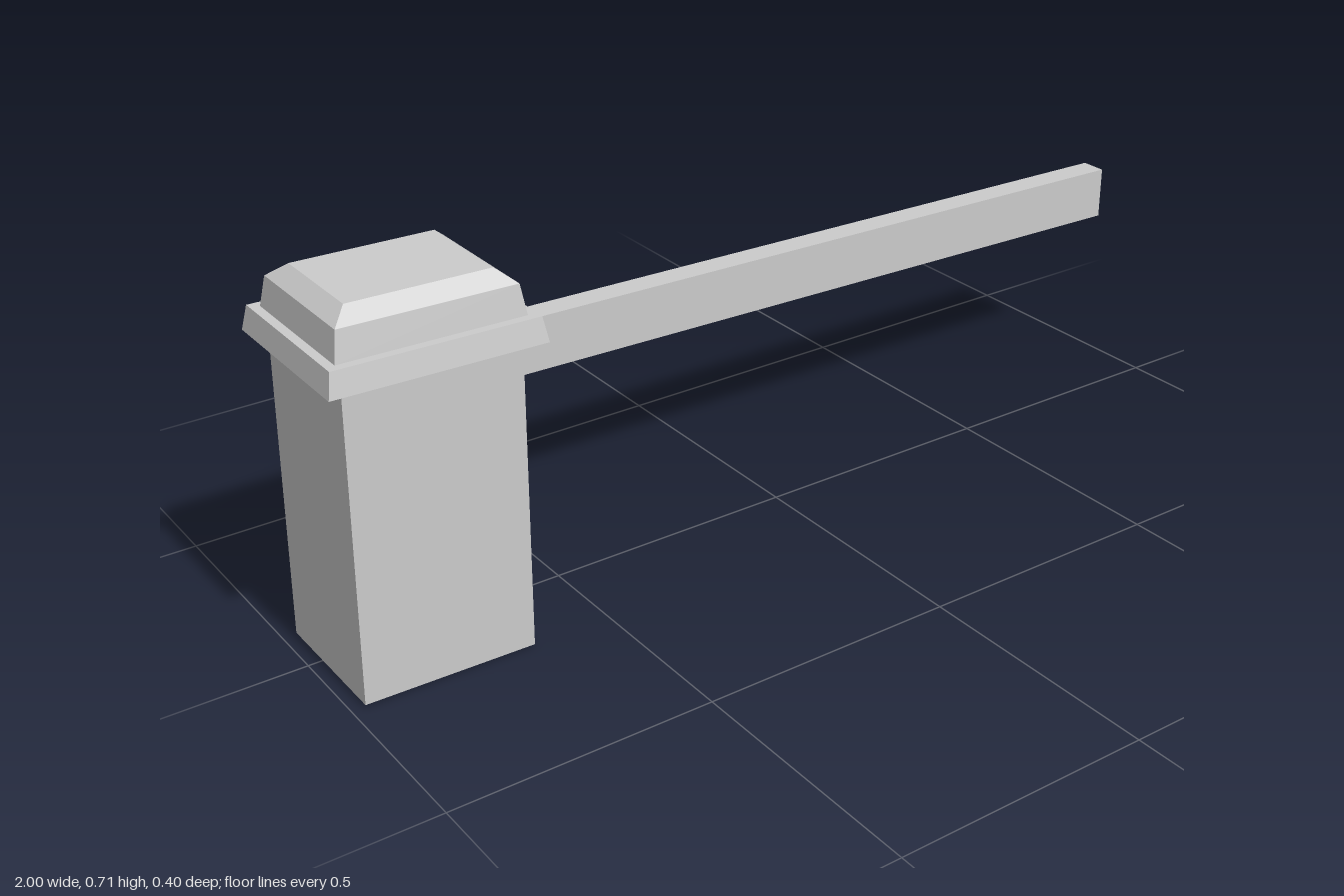
import * as THREE from 'three';

const material = new THREE.MeshStandardMaterial({ color: 0xcccccc, flatShading: true });

// Closed loft through rectangles given as [height, halfWidth, halfDepth], bottom to top
function loftRects(sections) {
  const corners = [[-1, 1], [1, 1], [1, -1], [-1, -1]];
  const rings = sections.map(([y, w, d]) => corners.map(([sx, sz]) => [sx * w, y, sz * d]));
  const positions = [];
  const quad = (a, b, c, d) => positions.push(...a, ...b, ...c, ...a, ...c, ...d);
  for (let i = 0; i < rings.length - 1; i++) {
    for (let k = 0; k < 4; k++) {
      const n = (k + 1) % 4;
      quad(rings[i][k], rings[i][n], rings[i + 1][n], rings[i + 1][k]);
    }
  }
  quad(...rings[rings.length - 1]);
  quad(...[...rings[0]].reverse());
  const geometry = new THREE.BufferGeometry();
  geometry.setAttribute('position', new THREE.Float32BufferAttribute(positions, 3));
  geometry.computeVertexNormals();
  return geometry;
}

function addPart(parent, name, geometry, x, y, z) {
  const mesh = new THREE.Mesh(geometry, material);
  mesh.name = name;
  mesh.position.set(x, y, z);
  parent.add(mesh);
  return mesh;
}

export function createModel() {
  const model = new THREE.Group();
  model.name = 'barrierGate';

  // The whole barrier leans slightly towards the arm's free end
  const barrier = new THREE.Group();
  barrier.name = 'leaningBarrier';
  barrier.position.set(-0.8135, 0.003, 0);
  barrier.rotation.z = -0.018;
  model.add(barrier);

  // Cabinet post
  addPart(barrier, 'post', new THREE.BoxGeometry(0.325, 0.577, 0.273), 0, 0.2885, 0.0365);

  // Stepped cap: bevelled underside, flange, ledge, raised hood, chamfered top
  addPart(barrier, 'cap', loftRects([
    [0.577, 0.1625, 0.1365],
    [0.5835, 0.178, 0.147],
    [0.5835, 0.196, 0.165],
    [0.629, 0.188, 0.157],
    [0.629, 0.171, 0.14],
    [0.684, 0.1625, 0.1315],
    [0.709, 0.132, 0.101],
  ]), 0, 0, 0.037);

  // Pivot plate on the back, with a small chamfer facing the arm
  const plate = addPart(barrier, 'pivotPlate', loftRects([
    [0, 0.095, 0.0685],
    [0.042, 0.095, 0.0685],
    [0.047, 0.088, 0.0615],
  ]), 0, 0.4035, -0.1);
  plate.rotation.x = -Math.PI / 2;

  // Long barrier arm
  addPart(barrier, 'arm', new THREE.BoxGeometry(1.92, 0.108, 0.054), 0.846, 0.4035, -0.174);

  return model;
}
